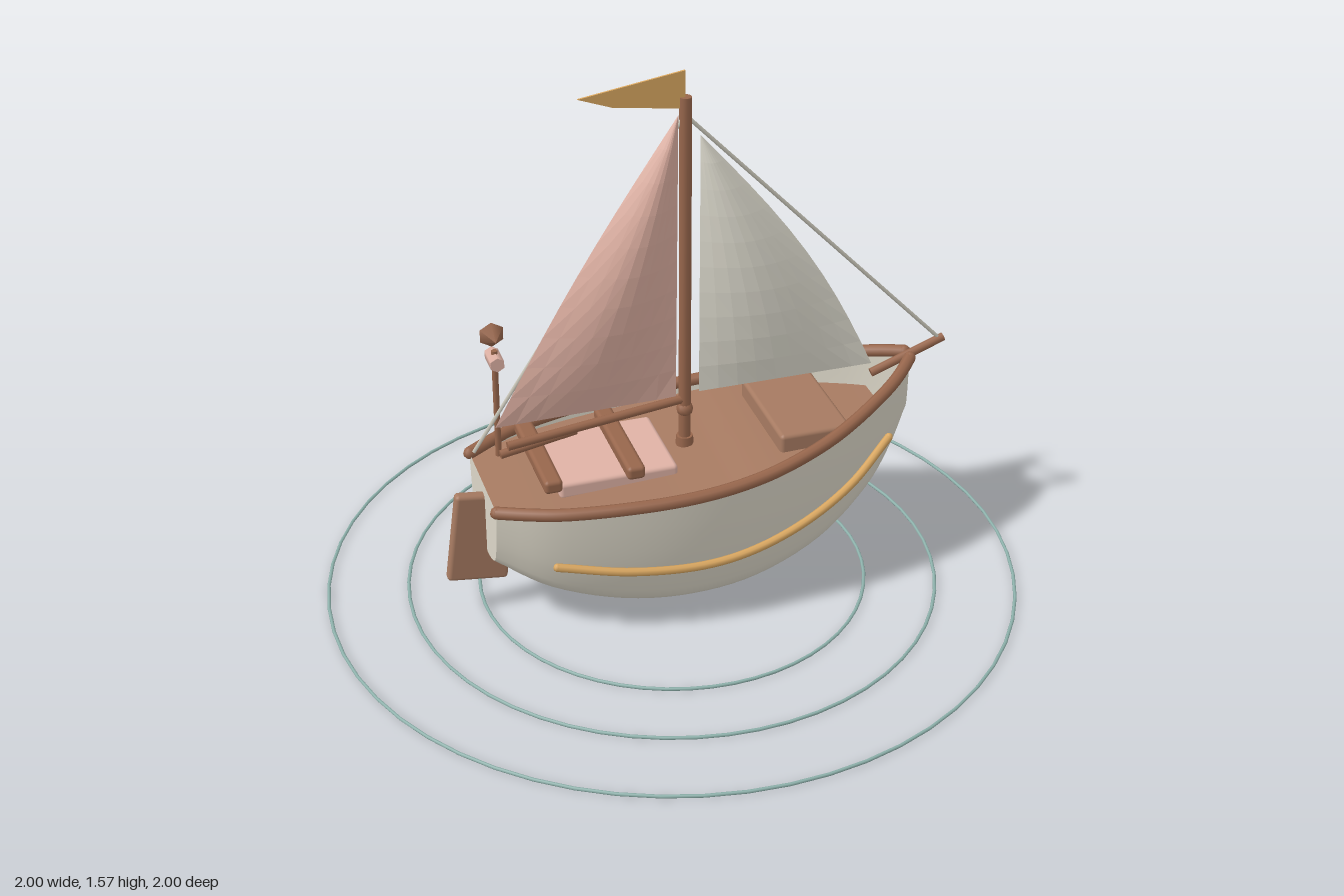
import * as THREE from 'three';
import { RoundedBoxGeometry } from 'three/addons/geometries/RoundedBoxGeometry.js';

const V = (x, y, z = 0) => new THREE.Vector3(x, y, z);

function material(name, color, options = {}) {
  const m = new THREE.MeshStandardMaterial({ color, ...options });
  m.name = name;
  return m;
}

// Surface from a rule: fn(u, v) gives a point
function grid(nu, nv, fn) {
  const pos = [], idx = [];
  for (let i = 0; i <= nu; i++)
    for (let j = 0; j <= nv; j++) pos.push(...fn(i / nu, j / nv).toArray());
  for (let i = 0; i < nu; i++)
    for (let j = 0; j < nv; j++) {
      const a = i * (nv + 1) + j, b = a + nv + 1;
      idx.push(a, a + 1, b, b, a + 1, b + 1);
    }
  const g = new THREE.BufferGeometry();
  g.setAttribute('position', new THREE.Float32BufferAttribute(pos, 3));
  g.setIndex(idx);
  g.computeVertexNormals();
  return g;
}

// Hull lines: top edge as (x, y, half beam), keel as (x, y)
const curve = (pts) => new THREE.CatmullRomCurve3(pts, false, 'catmullrom', 0.5);
const sheer = curve([
  V(-0.55, 0.42, 0.16), V(-0.4, 0.43, 0.235), V(-0.2, 0.44, 0.28), V(0, 0.45, 0.295), V(0.2, 0.472, 0.277),
  V(0.4, 0.515, 0.222), V(0.56, 0.563, 0.143), V(0.65, 0.59, 0.08), V(0.71, 0.61, 0.02),
]);
const keel = curve([
  V(-0.55, 0.2), V(-0.4, 0.1), V(-0.2, 0.028), V(0, 0.003), V(0.2, 0.018),
  V(0.4, 0.085), V(0.56, 0.2), V(0.65, 0.32), V(0.71, 0.43),
]);
// Half cross-section: share of half beam, share of height
const section = curve([
  V(1, 1), V(0.96, 0.75), V(0.9, 0.5), V(0.82, 0.3), V(0.7, 0.14), V(0.36, 0.035), V(0, 0),
]);

function hullPoint(t, v) {
  const top = sheer.getPoint(t), low = keel.getPoint(t);
  const s = section.getPoint(1 - Math.abs(1 - 2 * v));
  return V(top.x, low.y + (top.y - low.y) * s.y, top.z * s.x * (v <= 0.5 ? 1 : -1));
}

// Curve parameter at a given x
function tAt(x) {
  let a = 0, b = 1;
  for (let i = 0; i < 30; i++) {
    const m = (a + b) / 2;
    if (sheer.getPoint(m).x < x) a = m; else b = m;
  }
  return a;
}

// Hull half beam at curve parameter t and height y
function hullZ(t, y) {
  let a = 0, b = 0.5;
  for (let i = 0; i < 30; i++) {
    const m = (a + b) / 2;
    if (hullPoint(t, m).y > y) a = m; else b = m;
  }
  return hullPoint(t, a).z;
}

export function createModel() {
  const root = new THREE.Group();
  root.name = 'sailboat';
  const DS = THREE.DoubleSide;
  const cream = material('cream hull', 0xdcd7c8, { side: DS });
  const canvas = material('pale canvas', 0xe2dfd2, { side: DS, flatShading: true });
  const pinkSail = material('pink canvas', 0xdeb0a2, { side: DS, flatShading: true });
  const pink = material('pink paint', 0xdfb2a5);
  const wood = material('deck wood', 0xa67a61, { side: DS });
  const spar = material('dark wood', 0x97664c);
  const gold = material('gold', 0xd8a660, { side: DS });
  const rope = material('rope', 0xcbc8bb);
  const water = material('water', 0x8fb3ad);

  const add = (name, geo, mat, x = 0, y = 0, z = 0) => {
    const m = new THREE.Mesh(geo, mat);
    m.name = name;
    m.position.set(x, y, z);
    root.add(m);
    return m;
  };
  // Round bar between two points
  const bar = (name, a, b, r, mat, sides = 10) => {
    const d = b.clone().sub(a);
    const m = add(name, new THREE.CylinderGeometry(r, r, d.length(), sides), mat);
    m.position.copy(a).add(b).multiplyScalar(0.5);
    m.quaternion.setFromUnitVectors(V(0, 1, 0), d.normalize());
  };
  const tube = (name, pts, r, mat) => {
    add(name, new THREE.TubeGeometry(new THREE.CatmullRomCurve3(pts), 40, r, 8), mat);
    for (const p of [pts[0], pts[pts.length - 1]])
      add(name + 'End', new THREE.SphereGeometry(r, 8, 6), mat, p.x, p.y, p.z);
  };

  // Hull skin with flat ends
  add('hull', grid(40, 32, hullPoint), cream);
  for (const [name, t, turn] of [['transom', 0, -1], ['stem', 1, 1]]) {
    const pts = [];
    for (let j = 0; j <= 32; j++) {
      const p = hullPoint(t, j / 32);
      pts.push(new THREE.Vector2(p.z, p.y));
    }
    add(name, new THREE.ShapeGeometry(new THREE.Shape(pts)).rotateY(turn * Math.PI / 2), cream, sheer.getPoint(t).x);
  }

  // Deck: follows the rail aft, stays low towards the bow
  const deckEnd = tAt(0.625);
  add('deck', grid(24, 2, (u, v) => {
    const t = u * deckEnd, p = sheer.getPoint(t);
    const y = Math.min(p.y - 0.015, 0.44 + 0.03 * u);
    const inset = 0.965 - 0.085 * Math.sin(Math.PI * u);
    return V(p.x, y, (v * 2 - 1) * hullZ(t, y) * inset);
  }), wood);

  // Rails and rubbing strakes on both sides
  const strakeLine = [[-0.4, 0.25], [-0.2, 0.22], [0, 0.207], [0.15, 0.22], [0.32, 0.262], [0.48, 0.325], [0.62, 0.41]];
  for (const side of [1, -1]) {
    const rail = [];
    for (let i = 0; i <= 16; i++) {
      const p = sheer.getPoint(i / 16);
      rail.push(V(p.x, p.y, p.z * side));
    }
    tube('rail', rail, 0.018, spar);
    tube('strake', strakeLine.map(([x, y]) => V(x, y, side * (hullZ(tAt(x), y) + 0.015))), 0.012, gold);
  }

  // Deck fittings
  add('hatch', new RoundedBoxGeometry(0.21, 0.07, 0.34, 2, 0.012), wood, 0.372, 0.477, -0.003);
  add('cockpitFloor', new RoundedBoxGeometry(0.34, 0.05, 0.28, 2, 0.012), pink, -0.195, 0.435, 0);
  for (const x of [-0.39, -0.155])
    add('bench', new RoundedBoxGeometry(0.052, 0.04, 0.35, 2, 0.012), spar, x, 0.477, 0);

  // Mast, spars and tiller
  bar('mast', V(0.038, 0.42), V(0.038, 1.5), 0.017, spar);
  add('mastFoot', new THREE.CylinderGeometry(0.024, 0.026, 0.03, 10), spar, 0.038, 0.45, 0);
  add('mastCollar', new THREE.SphereGeometry(0.024, 10, 6), spar, 0.038, 0.552, 0);
  bar('boom', V(0.038, 0.585), V(-0.485, 0.552, 0.045), 0.013, spar);
  bar('tiller', V(-0.28, 0.54), V(-0.5, 0.51, 0.015), 0.013, spar);
  bar('bowsprit', V(0.6, 0.568), V(0.82, 0.65), 0.013, spar);

  // Sails: tack, clew, head, belly depth and outward curve of the leech
  const sail = (name, tack, clew, head, belly, roach, mat) =>
    add(name, grid(9, 10, (u, v) => {
      const luff = tack.clone().lerp(head, v), leech = clew.clone().lerp(head, v);
      leech.x += roach * Math.sin(Math.PI * v);
      const p = luff.lerp(leech, u);
      p.z += belly * Math.sin(Math.PI * u) * Math.pow(Math.max(0, Math.sin(Math.PI * v)), 0.8);
      return p;
    }), mat);
  sail('mainSail', V(0.012, 0.595), V(-0.51, 0.595, 0.01), V(0.018, 1.45), 0.06, -0.02, pinkSail);
  sail('jib', V(0.08, 0.6), V(0.6, 0.6), V(0.08, 1.385), 0.045, 0.05, canvas);

  // Stays
  bar('forestay', V(0.045, 1.44), V(0.81, 0.645), 0.006, rope, 6);
  bar('backstay', V(0.03, 1.44), V(-0.54, 0.43, -0.145), 0.006, rope, 6);

  // Pennant
  const flag = new THREE.Shape([[0.036, 1.575], [-0.255, 1.53], [-0.16, 1.495], [0.036, 1.468]].map(p => new THREE.Vector2(...p)));
  add('pennant', new THREE.ExtrudeGeometry(flag, { depth: 0.006, bevelEnabled: false }), gold, 0, 0, -0.003);

  // Stern lantern
  bar('lanternPost', V(-0.47, 0.41, -0.14), V(-0.47, 0.75, -0.14), 0.009, spar, 8);
  add('lanternBody', new THREE.CylinderGeometry(0.022, 0.022, 0.072, 6).rotateX(Math.PI / 2), pink, -0.47, 0.722, -0.141);
  add('lanternCap', new THREE.ConeGeometry(0.038, 0.05, 6).rotateX(Math.PI / 2), spar, -0.47, 0.787, -0.14);

  // Rudder
  const rudder = add('rudder', new RoundedBoxGeometry(0.175, 0.28, 0.035, 2, 0.012), wood, -0.562, 0.245, 0);
  rudder.rotation.z = -0.13;

  // Ripples
  for (const r of [0.56, 0.765, 0.995])
    add('ripple', new THREE.TorusGeometry(r, 0.005, 6, 56).rotateX(Math.PI / 2), water, 0, 0.009, 0);

  return root;
}
